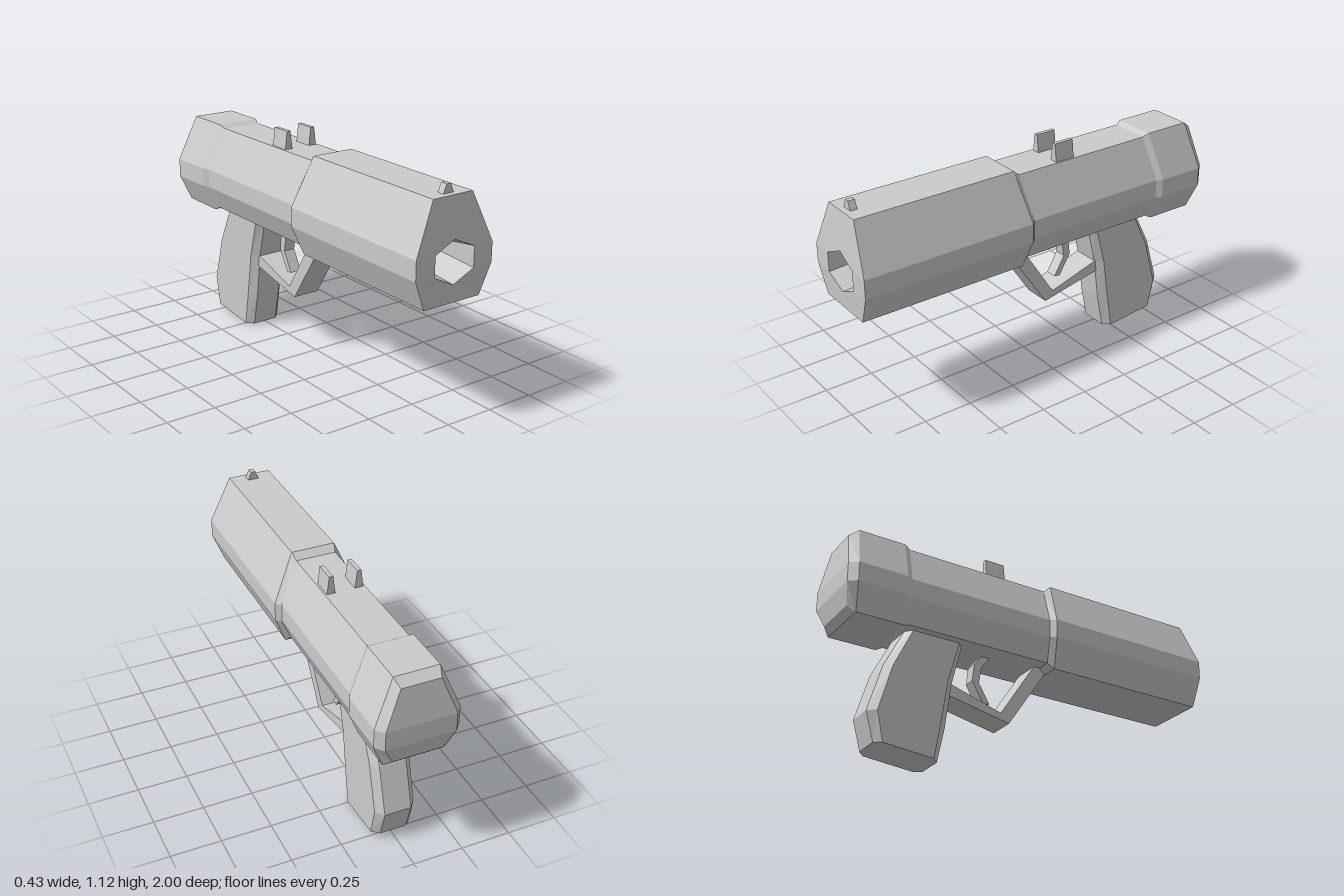
import * as THREE from 'three';

const material = new THREE.MeshStandardMaterial({ color: 0xcccccc, flatShading: true });

// Mirrors one half of a cross-section across x = 0 into a closed ring
const mirror = half => [...half, ...half.map(([x, y, z]) => [-x, y, z]).reverse()];

// Skins a list of mirrored rings and closes both ends with strips
function loft(halves) {
  const rings = halves.map(mirror), n = rings[0].length, pos = [];
  const quad = (a, b, c, d) => pos.push(...a, ...b, ...c, ...a, ...c, ...d);
  for (let i = 0; i < rings.length - 1; i++) {
    const r = rings[i], s = rings[i + 1];
    for (let j = 0; j < n; j++) quad(r[j], r[(j + 1) % n], s[(j + 1) % n], s[j]);
  }
  const first = rings[0], last = rings[rings.length - 1];
  for (let j = 0; j < n / 2 - 1; j++) {
    quad(first[n - 1 - j], first[n - 2 - j], first[j + 1], first[j]);
    quad(last[j], last[j + 1], last[n - 2 - j], last[n - 1 - j]);
  }
  const g = new THREE.BufferGeometry();
  g.setAttribute('position', new THREE.Float32BufferAttribute(pos, 3));
  g.computeVertexNormals();
  return g;
}

// Extrudes a flat outline, centred on its depth
function slab(points, depth) {
  const shape = new THREE.Shape(points.map(p => new THREE.Vector2(...p)));
  return new THREE.ExtrudeGeometry(shape, { depth, bevelEnabled: false }).translate(0, 0, -depth / 2);
}

// Slab whose outline is given as [z, y], extruded across x
const sideSlab = (points, width) =>
  slab(points.map(([z, y]) => [-z, y]), width).rotateY(Math.PI / 2);

// Trapezoid sight blade running along z
const blade = (base, top, height, length) =>
  slab([[-base, 0], [base, 0], [top, height], [-top, height]], length);

export function createModel() {
  const model = new THREE.Group();
  const add = (name, geometry, x = 0, y = 0, z = 0) => {
    const mesh = new THREE.Mesh(geometry, material);
    mesh.name = name;
    mesh.position.set(x, y, z);
    model.add(mesh);
  };

  // Eight-sided section: half widths, heights and z of top, side and bottom
  const section = ([wt, ws, wb], [yt, yb], [zt, zs, zb]) =>
    [[wt, yt, zt], [ws, 0.82, zs], [ws, 0.725, zs], [wb, yb, zb]];
  const shroudW = [0.11, 0.215, 0.157], bodyW = [0.1, 0.19, 0.14], capW = [0.11, 0.205, 0.15];

  // Bore, front shroud, middle body and rear cap in one skin
  add('body', loft([
    [[0, 0.815, 0.7], [0.11, 0.795, 0.7], [0.11, 0.74, 0.7], [0, 0.69, 0.7]],
    [[0, 0.87, 0.995], [0.11, 0.82, 1], [0.11, 0.72, 1], [0, 0.665, 0.995]],
    section(shroudW, [1.06, 0.58], [0.975, 1, 0.99]),
    section(shroudW, [1.06, 0.58], [0.135, 0.1, 0.12]),
    section(bodyW, [1.03, 0.61], [0.1, 0.075, 0.09]),
    section(bodyW, [1.03, 0.61], [-0.66, -0.685, -0.665]),
    section(capW, [1.045, 0.595], [-0.69, -0.715, -0.695]),
    section(capW, [1.045, 0.595], [-0.93, -0.96, -0.94]),
    section([0.095, 0.17, 0.12], [1.01, 0.63], [-0.975, -1, -0.975]),
  ]));

  // Grip: [front z, front y, rear z, rear y] from the butt upwards
  add('grip', loft([
    [-0.465, 0, -0.785, 0.03],
    [-0.43, 0.17, -0.825, 0.175],
    [-0.4, 0.4, -0.755, 0.41],
    [-0.34, 0.65, -0.635, 0.65],
  ].map(([zf, yf, zr, yr]) => {
    const at = t => [yf + (yr - yf) * t, zf + (zr - zf) * t];
    return [[0.067, ...at(0)], [0.1, ...at(0.1)], [0.1, ...at(0.9)], [0.067, ...at(1)]];
  })));

  add('triggerGuard', sideSlab([
    [0.12, 0.585], [-0.085, 0.275], [-0.42, 0.345], [-0.41, 0.405],
    [-0.13, 0.32], [0.06, 0.615], [0.1, 0.615],
  ], 0.14));

  add('trigger', sideSlab([
    [-0.165, 0.62], [-0.215, 0.555], [-0.23, 0.47], [-0.172, 0.37],
    [-0.205, 0.365], [-0.267, 0.47], [-0.257, 0.56], [-0.21, 0.62],
  ], 0.06));

  // Sights
  add('frontSight', blade(0.03, 0.012, 0.045, 0.035), 0, 1.057, 0.927);
  for (const s of [1, -1])
    add(s > 0 ? 'leftRearSight' : 'rightRearSight', blade(0.022, 0.01, 0.1, 0.105), s * 0.07, 1.02, -0.178);

  return model;
}
